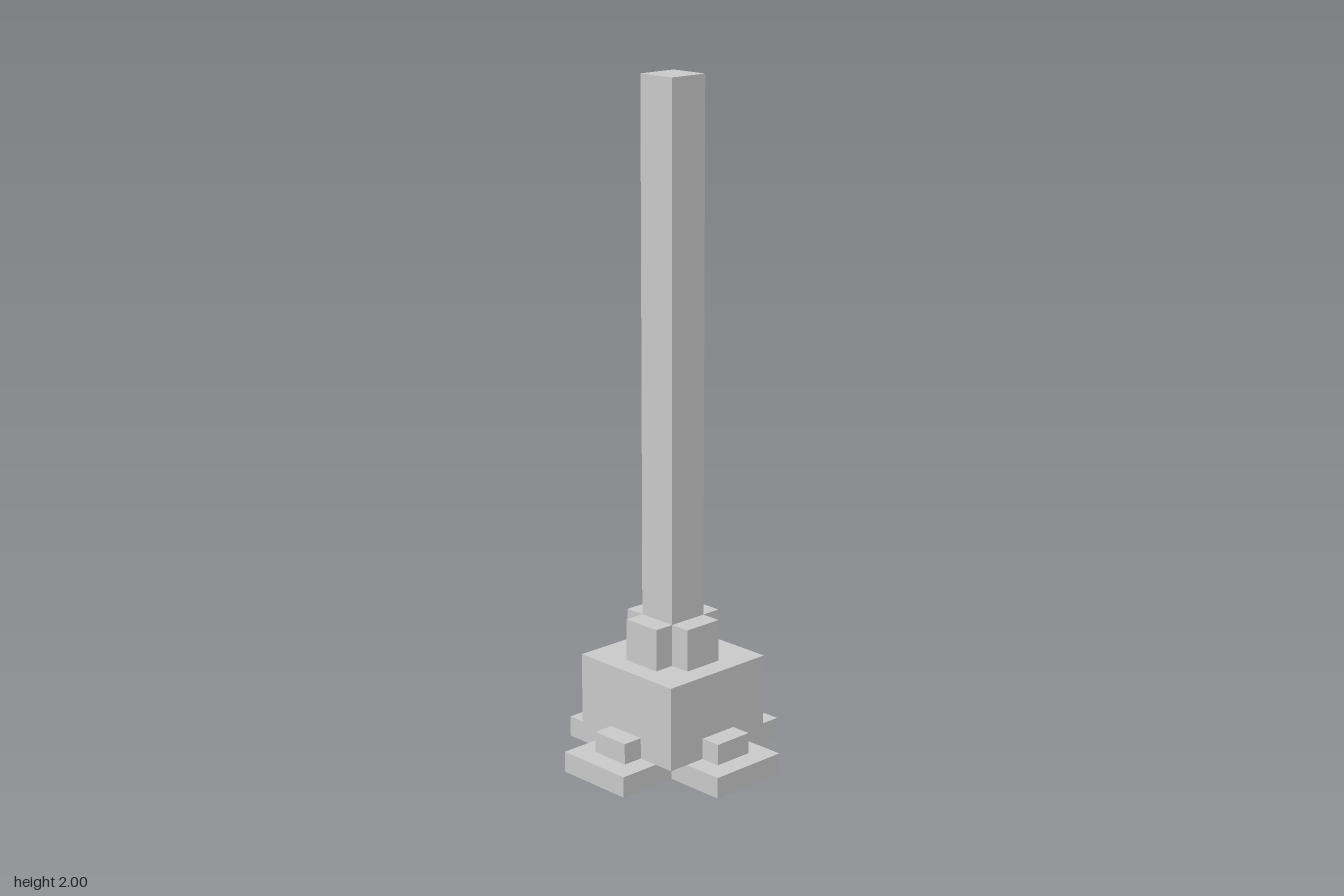
import * as THREE from 'three';

export function createModel() {
  const U = 1 / 16; // all sizes are multiples of this block unit
  const group = new THREE.Group();
  const material = new THREE.MeshStandardMaterial({ color: 0xcccccc, flatShading: true });

  // Centred box, given full width, full depth, bottom and top in block units
  function block(name, width, depth, bottom, top) {
    const geometry = new THREE.BoxGeometry(width * U, (top - bottom) * U, depth * U);
    const mesh = new THREE.Mesh(geometry, material);
    mesh.name = name;
    mesh.position.y = ((bottom + top) / 2) * U;
    group.add(mesh);
  }

  // Two equal bars crossing at the centre
  function cross(name, length, width, bottom, top) {
    block(name + 'Sideways', length, width, bottom, top);
    block(name + 'Lengthways', width, length, bottom, top);
  }

  cross('footPlank', 10, 4, 0, 1);
  cross('footBrace', 8, 2, 1, 2);
  block('baseBlock', 6, 6, 1, 5);
  cross('collar', 4, 2, 5, 7);
  block('post', 2, 2, 5, 32);

  return group;
}
